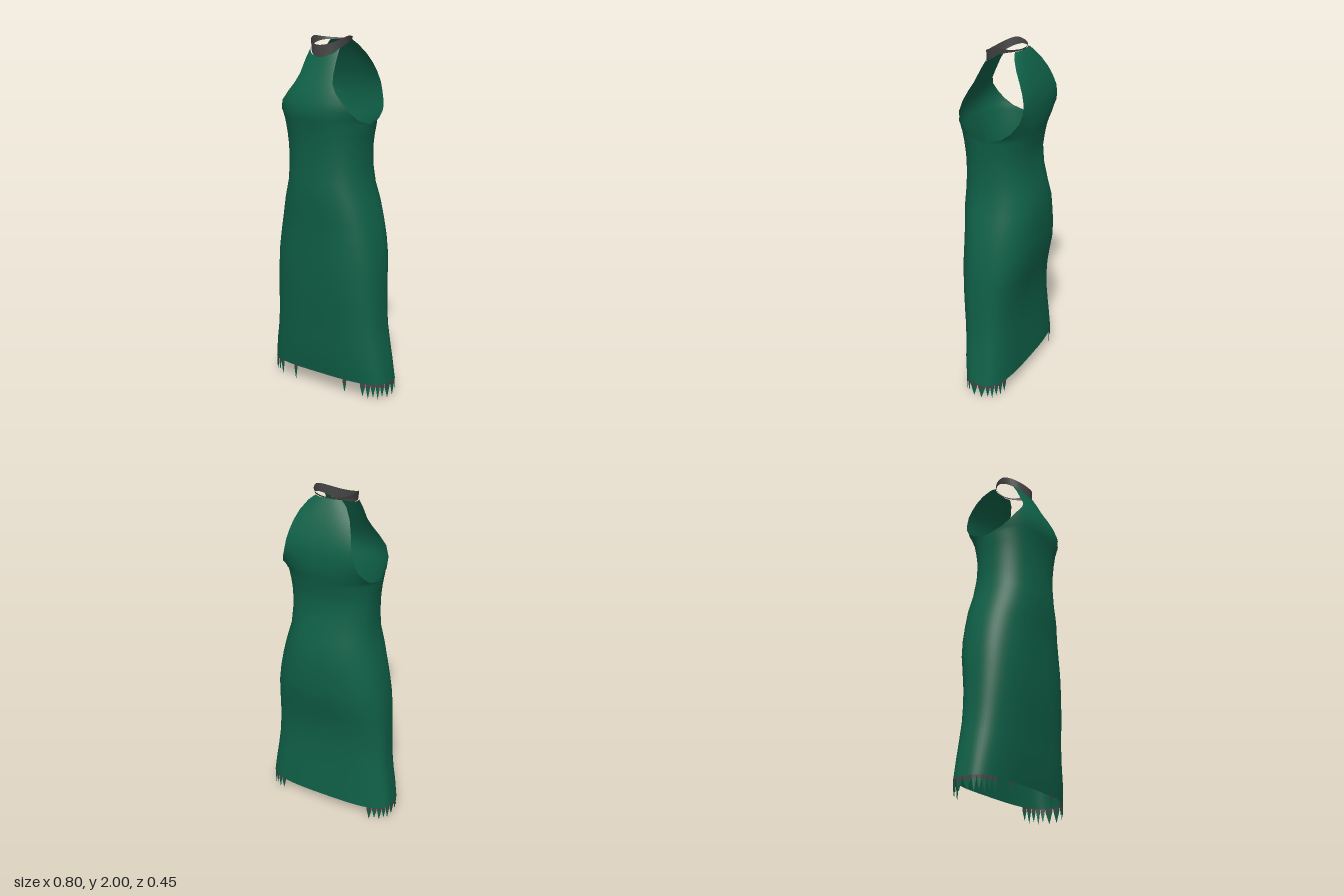
import * as THREE from 'three';
import { mergeGeometries, mergeVertices } from 'three/addons/utils/BufferGeometryUtils.js';

const green = new THREE.MeshStandardMaterial({ color: 0x0f6047, side: THREE.DoubleSide });
green.name = 'green cloth';
const grey = new THREE.MeshStandardMaterial({ color: 0x454545, side: THREE.DoubleSide });
grey.name = 'grey trim';

// body sections: height, half width, front depth, back depth, centre z
const BODY = [
  [0.085, 0.4, 0.12, 0.16, -0.02], [0.2, 0.384, 0.138, 0.156, -0.02], [0.3, 0.368, 0.146, 0.152, -0.02],
  [0.4, 0.355, 0.155, 0.15, -0.015], [0.5, 0.35, 0.165, 0.152, -0.01], [0.6, 0.346, 0.174, 0.162, -0.01],
  [0.7, 0.342, 0.18, 0.182, -0.01], [0.8, 0.335, 0.184, 0.206, -0.01], [0.9, 0.32, 0.186, 0.218, -0.01],
  [1.0, 0.3, 0.192, 0.22, -0.01], [1.1, 0.275, 0.204, 0.222, -0.005], [1.2, 0.248, 0.204, 0.204, 0],
  [1.3, 0.241, 0.2, 0.178, 0], [1.4, 0.243, 0.203, 0.167, 0], [1.47, 0.25, 0.21, 0.176, 0],
  [1.53, 0.26, 0.218, 0.187, 0],
];
// panels above the armholes: height, edge x, edge depth, middle depth, lift of the edge
const FRONT = [
  [1.56, 0.25, 0.1, 0.226], [1.6, 0.236, 0.15, 0.23], [1.65, 0.208, 0.178, 0.222], [1.7, 0.165, 0.18, 0.201],
  [1.75, 0.13, 0.163, 0.178], [1.8, 0.114, 0.135, 0.15], [1.85, 0.107, 0.1, 0.127, 0.02], [1.89, 0.1, 0.06, 0.107, 0.045],
];
const BACK = [
  [1.56, 0.25, 0.1, 0.194], [1.6, 0.24, 0.15, 0.204], [1.65, 0.217, 0.185, 0.209], [1.7, 0.2, 0.197, 0.21],
  [1.75, 0.19, 0.195, 0.205], [1.8, 0.178, 0.18, 0.192], [1.85, 0.164, 0.157, 0.172], [1.9, 0.143, 0.128, 0.15],
  [1.95, 0.108, 0.097, 0.119], [1.977, 0.075, 0.083, 0.1],
];

const bulge = y => 3.2 - 0.8 * Math.min(1, y / 1.2);
const power = (v, e) => Math.sign(v) * Math.pow(Math.abs(v), e);

// surface through rows of points
function loft(rows, flip) {
  const n = rows[0].length, index = [];
  for (let i = 0; i < rows.length - 1; i++) {
    for (let j = 0; j < n - 1; j++) {
      const a = i * n + j, b = a + 1, c = a + n, d = c + 1;
      if (flip) index.push(a, c, b, b, c, d);
      else index.push(a, b, c, b, d, c);
    }
  }
  const g = new THREE.BufferGeometry();
  g.setAttribute('position', new THREE.Float32BufferAttribute(rows.flat(2), 3));
  g.setIndex(index);
  return g;
}

// one point on a body section; dir is 1 in front and -1 behind
function bodyPoint([y, w, front, back, c], angle, dir) {
  const e = 2 / bulge(y), depth = dir > 0 ? front - c : back + c;
  return [w * power(Math.sin(angle), e), y, c + dir * depth * Math.pow(Math.max(0, Math.cos(angle)), e)];
}

// half of the dress from hem to neck
function half(panel, dir) {
  const N = 32, steps = Array.from({ length: N + 1 }, (_, i) => (i / N) * 2 - 1);
  const rows = BODY.map(r => steps.map(s => bodyPoint(r, s * Math.PI / 2, dir)));
  for (const [y, x, z, depth, lift = 0] of panel) {
    const e = 2 / bulge(y), A = Math.acos(Math.pow(z / depth, 1 / e)), w = x / Math.pow(Math.sin(A), e);
    rows.push(steps.map(s => [
      w * power(Math.sin(s * A), e), y + lift * s * s, dir * depth * Math.pow(Math.cos(s * A), e),
    ]));
  }
  return loft(rows, dir < 0);
}

// slanted neck band, low in front
function collar() {
  const rows = [[], []];
  for (let i = 0; i <= 40; i++) {
    const t = (i / 40) * Math.PI * 2, c = Math.cos(t), s = Math.sin(t);
    const low = 1.977 - 0.092 * Math.pow((1 + c) / 2, 2.5);
    const high = 2 - 0.05 * Math.pow(Math.max(0, c), 1.5) - 0.015 * Math.max(0, -c);
    rows[0].push([0.112 * s, low, (c > 0 ? 0.11 : 0.1) * c]);
    rows[1].push([0.119 * s, high, (c > 0 ? 0.108 : 0.102) * c]);
  }
  return loft(rows);
}

// pointed fringe hanging from the hem at the given section angles
function fringe(spans) {
  const tops = [], tips = [];
  spans.forEach(([from, to, dir], k) => {
    const a = bodyPoint(BODY[0], from, dir), b = bodyPoint(BODY[0], to, dir);
    const at = (u, y) => [a[0] + (b[0] - a[0]) * u, y, a[2] + (b[2] - a[2]) * u];
    const low = 0.012 * (k % 2);
    tops.push(loft([[at(0.08, 0.064), at(0.92, 0.064)], [at(0, 0.087), at(1, 0.087)]], dir < 0));
    tips.push(loft([[at(0.5, low), at(0.54, low)], [at(0.08, 0.064), at(0.92, 0.064)]], dir < 0));
  });
  return [mergeGeometries(tops), mergeGeometries(tips)];
}

export function createModel() {
  const group = new THREE.Group();
  const add = (name, geometry, material) => {
    geometry.computeVertexNormals();
    const mesh = new THREE.Mesh(geometry, material);
    mesh.name = name;
    group.add(mesh);
  };

  add('dress', mergeVertices(mergeGeometries([half(FRONT, 1), half(BACK, -1)]), 1e-4), green);
  add('collar', collar(), grey);

  // fringe clusters around both sides, with one lone point on each side in front
  const spans = [];
  for (const side of [-1, 1]) {
    for (const dir of [1, -1]) {
      const edges = [0.6, 0.74, 0.88, 1.04, 1.2, 1.37, Math.PI / 2];
      for (let i = 0; i < edges.length - 1; i++) {
        const pair = [side * edges[i], side * edges[i + 1]].sort((p, q) => p - q);
        spans.push([...pair, dir]);
      }
    }
    spans.push([side * 0.29 - 0.035, side * 0.29 + 0.035, 1]);
  }
  const [tops, tips] = fringe(spans);
  add('fringeBand', tops, grey);
  add('fringePoints', tips, green);
  return group;
}
